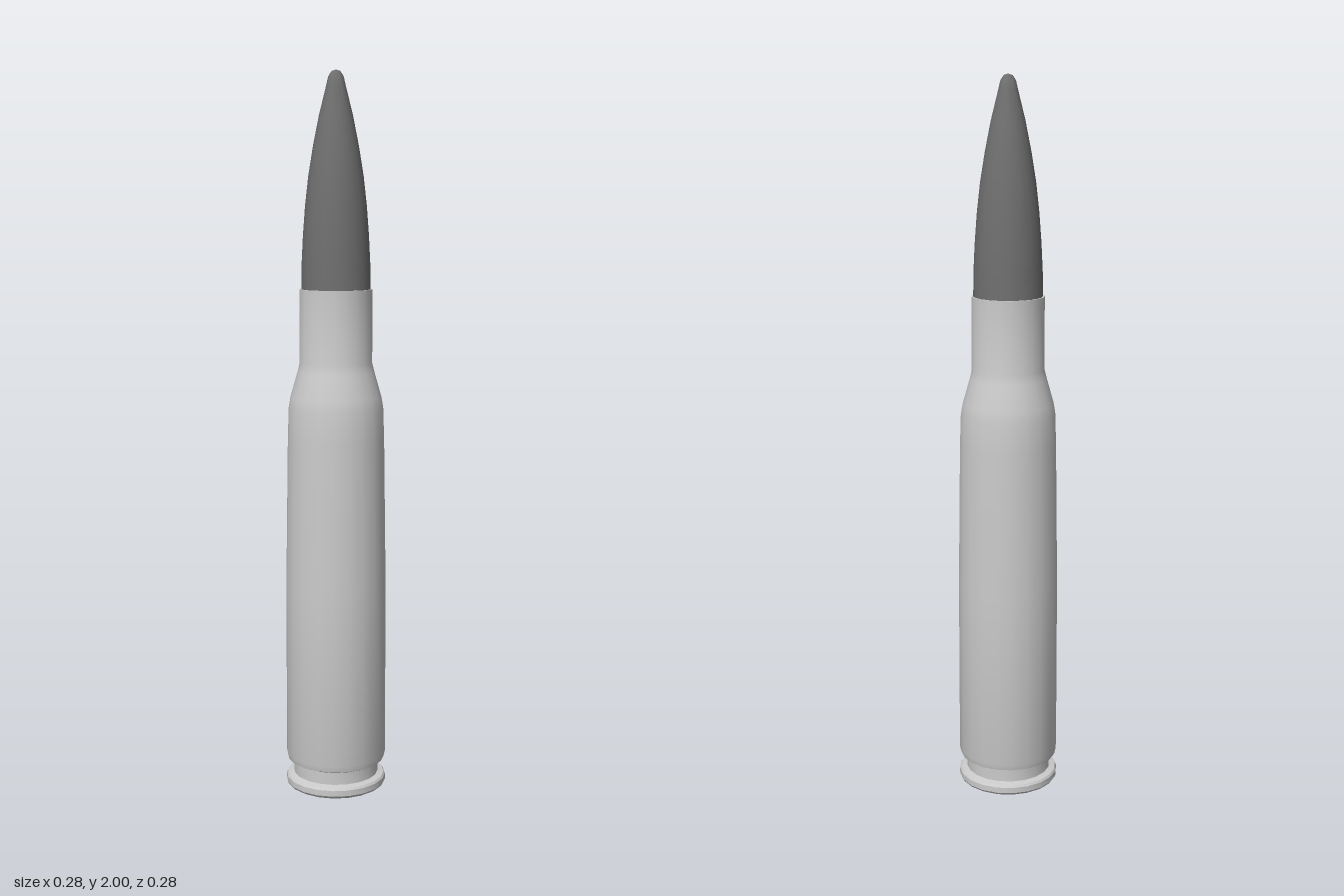
import * as THREE from 'three';
import { toCreasedNormals } from 'three/addons/utils/BufferGeometryUtils.js';

const SIDES = 20;

// Revolves [radius, height] pairs, listed bottom to top, keeping hard edges
function turned(name, profile, color) {
  const points = profile.map(([r, y]) => new THREE.Vector2(r, y));
  const geometry = toCreasedNormals(new THREE.LatheGeometry(points, SIDES), 0.5);
  const mesh = new THREE.Mesh(geometry, new THREE.MeshStandardMaterial({ color }));
  mesh.name = name;
  return mesh;
}

export function createModel() {
  const model = new THREE.Group();
  model.name = 'cartridge';

  // Casing: base with primer pocket, rim, extractor groove, body, shoulder, neck
  model.add(turned('casing', [
    [0.0395, 0.012], [0.042, 0.004], [0.13, 0.004], [0.137, 0.008],
    [0.141, 0.014], [0.141, 0.03], [0.137, 0.036],
    [0.12, 0.04], [0.12, 0.075],
    [0.137, 0.083], [0.141, 0.1], [0.14, 0.6], [0.134, 1.0],
    [0.131, 1.09], [0.126, 1.12], [0.106, 1.19], [0.1, 1.215],
    [0.1, 1.416], [0.093, 1.416],
  ], 0xcccccc));

  // Primer seated in the base
  model.add(turned('primer', [
    [0, 0], [0.034, 0], [0.038, 0.004], [0.04, 0.012],
  ], 0xcccccc));

  // Pointed bullet with a small rounded tip
  model.add(turned('bullet', [
    [0.095, 1.4], [0.094, 1.48], [0.09, 1.56], [0.084, 1.64], [0.075, 1.72],
    [0.062, 1.8], [0.046, 1.88], [0.026, 1.96], [0.021, 1.982],
    [0.012, 1.996], [0, 2],
  ], 0x707070));

  return model;
}
